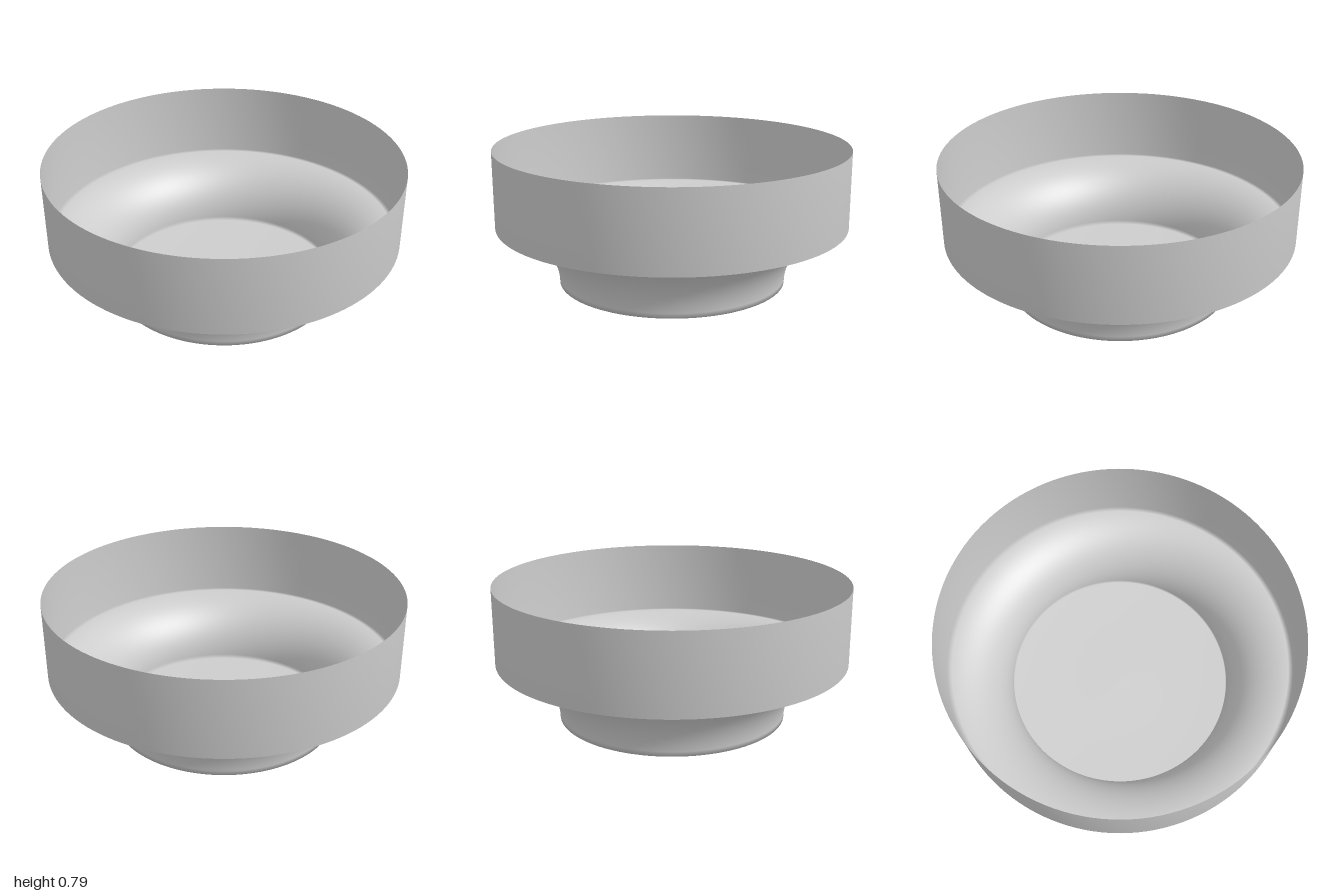
import * as THREE from 'three';

const FOOT_RADIUS = 0.65;
const RIM_RADIUS = 1;
const RIM_HEIGHT = 0.785;
const COVE_STEPS = 20;

export function createModel() {
  const group = new THREE.Group();
  group.name = 'footedBowl';

  const grey = new THREE.MeshStandardMaterial({ color: 0xcccccc, side: THREE.DoubleSide });
  grey.name = 'light grey';

  // Profile: flat floor, quarter-circle cove flaring outward, upright wall
  const cove = RIM_RADIUS - FOOT_RADIUS;
  const profile = [new THREE.Vector2(0, 0)];
  for (let i = 0; i <= COVE_STEPS; i++) {
    const a = (i / COVE_STEPS) * Math.PI / 2;
    profile.push(new THREE.Vector2(RIM_RADIUS - cove * Math.cos(a), cove * Math.sin(a)));
  }
  profile.push(new THREE.Vector2(RIM_RADIUS, RIM_HEIGHT));

  // One thin shell, smooth across floor, cove and wall
  const shell = new THREE.Mesh(new THREE.LatheGeometry(profile, 128), grey);
  shell.name = 'bowlShell';
  group.add(shell);

  return group;
}
